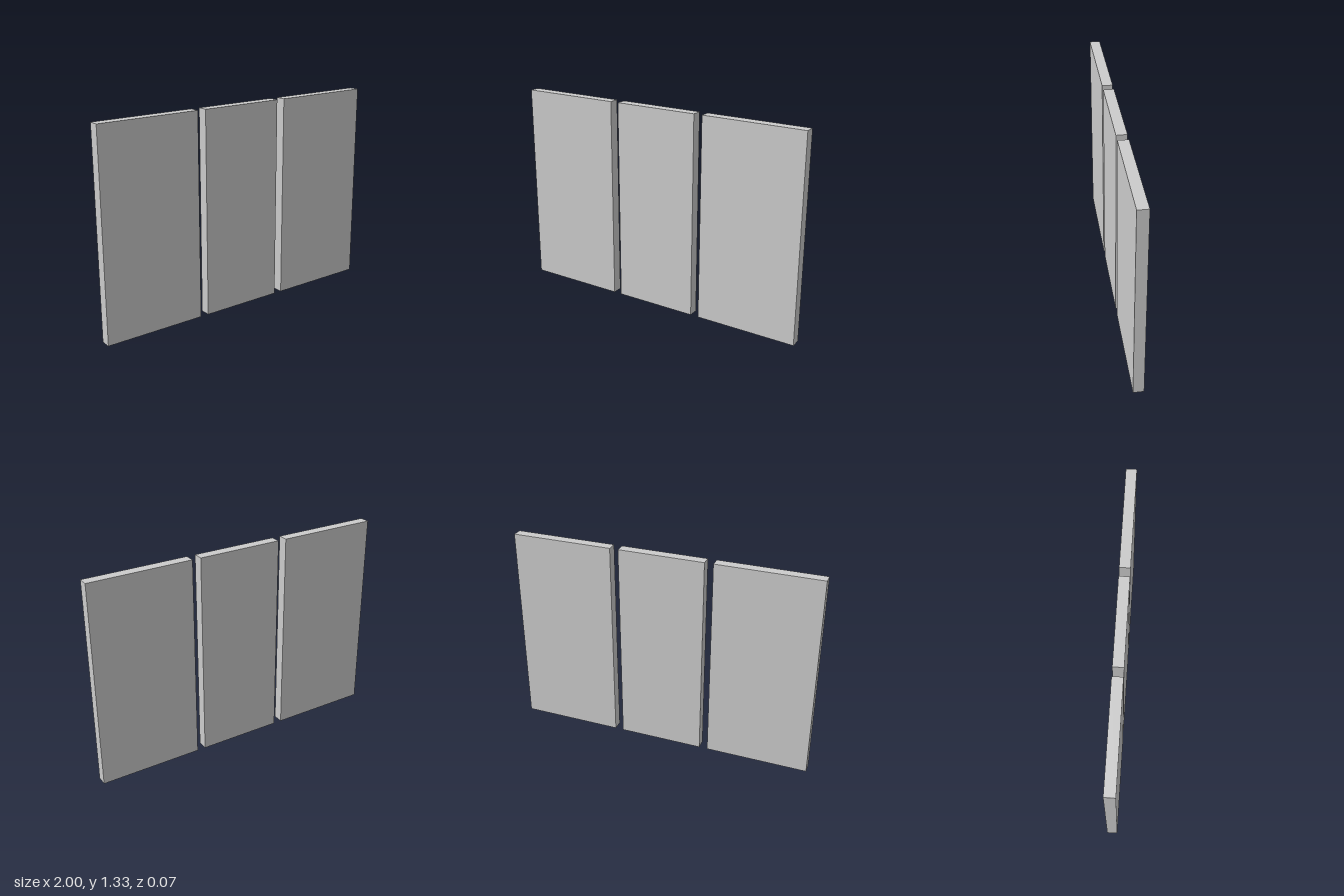
import * as THREE from 'three';

const HEIGHT = 1.333;
const DEPTH = 0.067;

export function createModel() {
  const group = new THREE.Group();
  group.name = 'threePanelSet';
  const material = new THREE.MeshStandardMaterial({ color: 0xcccccc });

  // Upright slab spanning x0 to x1, standing on the ground
  const addPanel = (name, x0, x1) => {
    const panel = new THREE.Mesh(new THREE.BoxGeometry(x1 - x0, HEIGHT, DEPTH), material);
    panel.name = name;
    panel.position.set((x0 + x1) / 2, HEIGHT / 2, 0);
    group.add(panel);
  };

  // Two wide outer panels and a narrower middle one, with gaps between
  addPanel('rightPanel', -1, -0.333);
  addPanel('middlePanel', -0.278, 0.278);
  addPanel('leftPanel', 0.333, 1);

  return group;
}
